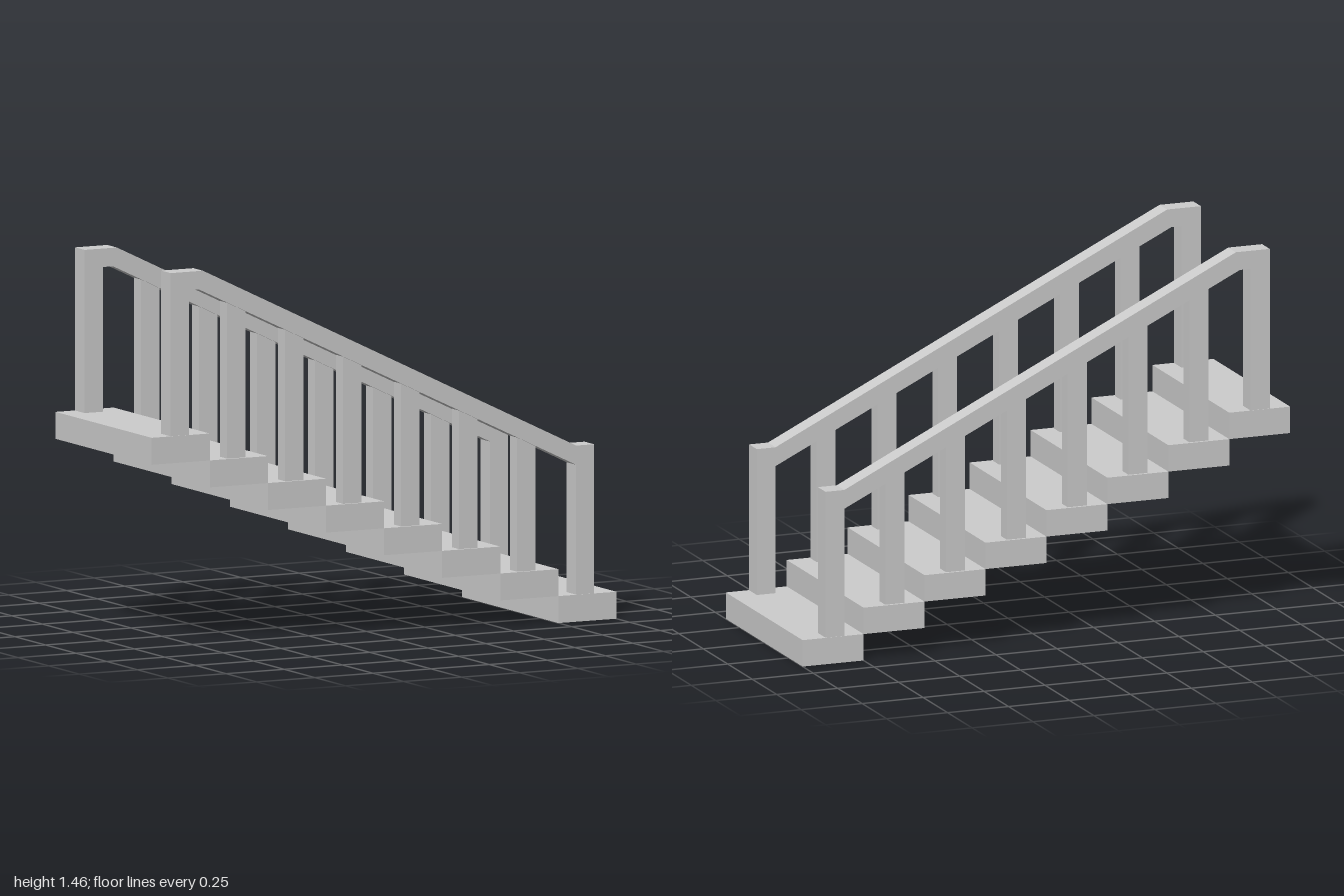
import * as THREE from 'three';

const STEPS = 8, RUN = 0.25, RISE = 0.1037, DEPTH = 0.785;
const RAIL_Z = 0.351, RAIL_W = 0.078;

// Straight extrusion of an x/y outline, centred on z
function profile(points, depth) {
  const shape = new THREE.Shape(points.map(([x, y]) => new THREE.Vector2(x, y)));
  const geo = new THREE.ExtrudeGeometry(shape, { depth, bevelEnabled: false });
  return geo.translate(0, 0, -depth / 2);
}

export function createModel() {
  const model = new THREE.Group();
  model.name = 'staircase';
  const mat = new THREE.MeshStandardMaterial({ color: 0xcccccc, flatShading: true });
  const add = (parent, geo, name) => {
    const mesh = new THREE.Mesh(geo, mat);
    mesh.name = name;
    parent.add(mesh);
    return mesh;
  };

  // Treads, climbing from +x to -x
  const treadGeo = new THREE.BoxGeometry(RUN, RISE, DEPTH);
  for (let i = 0; i < STEPS; i++) {
    add(model, treadGeo, `tread${i + 1}`)
      .position.set(1 - RUN * (i + 0.5), RISE * (i + 0.5), 0);
  }

  // Handrail and both end posts in one outline
  const top = STEPS * RISE;
  const railGeo = profile([
    [0.905, RISE], [0.905, 0.677], [0.828, 0.677], [-0.778, 1.457], [-0.917, 1.457],
    [-0.917, top], [-0.838, top], [-0.838, 1.386], [-0.795, 1.386], [0.828, 0.603], [0.828, RISE],
  ], RAIL_W);

  // Balusters, cut to the slope of the handrail's underside
  const underside = x => 0.603 + (0.828 - x) * (1.386 - 0.603) / (0.828 + 0.795);
  const balusterGeos = [];
  for (let i = 1; i < STEPS - 1; i++) {
    const x = 0.867 - i * 0.2495, a = x - 0.039, b = x + 0.039, foot = RISE * (i + 1);
    balusterGeos.push(profile([[a, foot], [b, foot], [b, underside(b)], [a, underside(a)]], 0.06));
  }

  // One railing on each side
  for (const [side, name] of [[1, 'frontRailing'], [-1, 'backRailing']]) {
    const railing = new THREE.Group();
    railing.name = name;
    railing.position.z = side * RAIL_Z;
    add(railing, railGeo, 'handrail');
    balusterGeos.forEach((geo, i) => add(railing, geo, `baluster${i + 1}`));
    model.add(railing);
  }
  return model;
}
